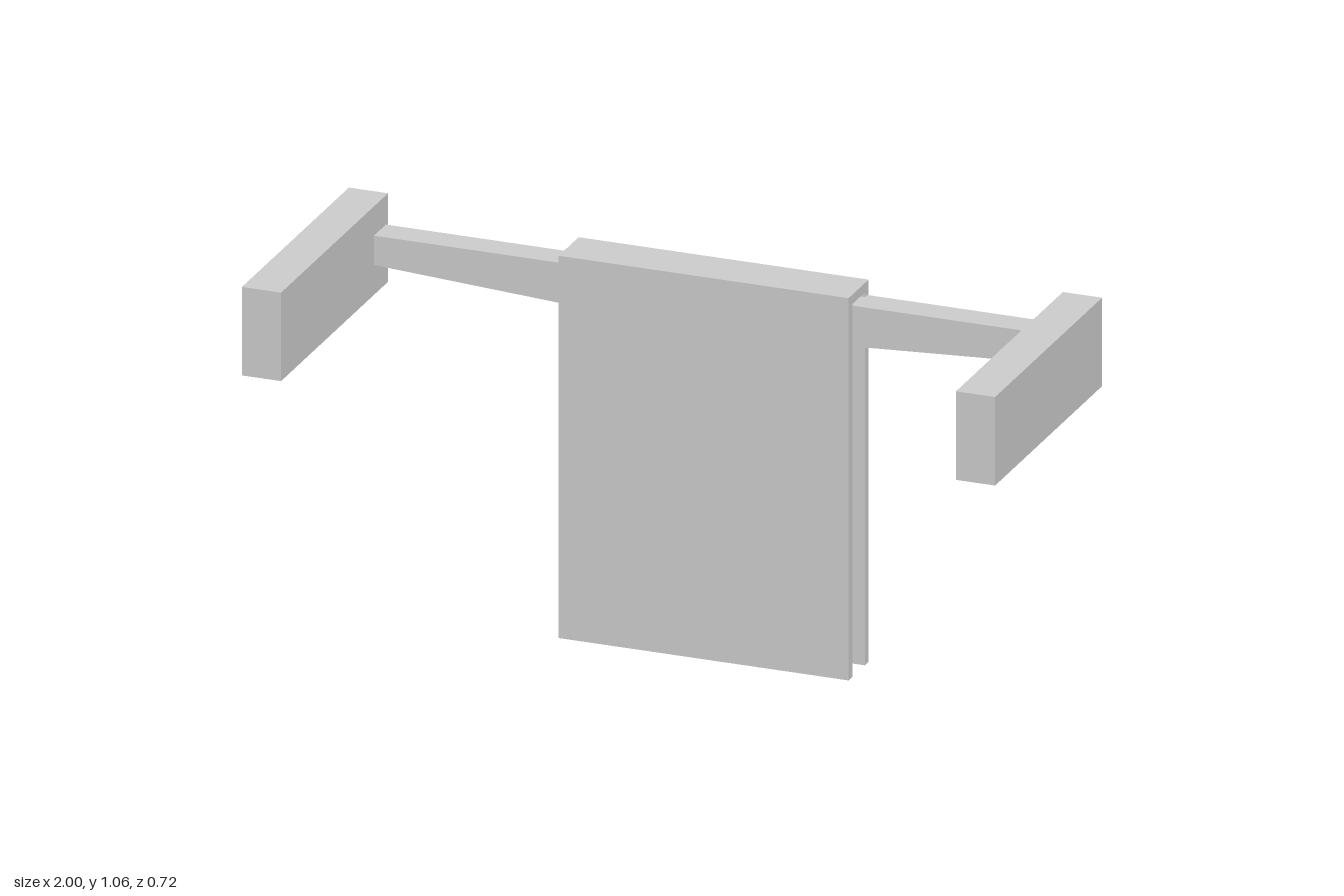
import * as THREE from 'three';

const grey = new THREE.MeshStandardMaterial({ color: 0xcccccc, flatShading: true });
const white = new THREE.MeshStandardMaterial({ color: 0xffffff, flatShading: true });

// Extrude a closed outline of [x, y] points by a depth
function extrude(name, points, depth, material) {
  const shape = new THREE.Shape(points.map(([x, y]) => new THREE.Vector2(x, y)));
  const geometry = new THREE.ExtrudeGeometry(shape, { depth, bevelEnabled: false });
  const mesh = new THREE.Mesh(geometry, material);
  mesh.name = name;
  return mesh;
}

export function createModel() {
  const model = new THREE.Group();
  model.name = 'towelRail';

  // Side arms
  for (const side of [1, -1]) {
    const arm = new THREE.Mesh(new THREE.BoxGeometry(0.104, 0.235, 0.716), grey);
    arm.name = side > 0 ? 'leftArm' : 'rightArm';
    arm.position.set(side * 0.948, 0.938, 0);
    model.add(arm);
  }

  // Crossbar, deepening toward the middle
  const bar = extrude('crossbar', [
    [-0.896, 0.978], [-0.896, 0.9], [0, 0.848], [0.896, 0.9], [0.896, 0.978],
  ], 0.08, grey);
  bar.position.z = -0.343;
  model.add(bar);

  // Towel folded over the bar: an inverted U swept along x
  const front = -0.219, back = -0.353, thick = 0.025, top = 1.015;
  const towel = extrude('towel', [
    [-front, 0], [-front, top], [-back, top], [-back, 0],
    [-back - thick, 0], [-back - thick, top - thick],
    [-front + thick, top - thick], [-front + thick, 0],
  ], 0.77, white);
  towel.rotation.y = Math.PI / 2;
  towel.position.x = -0.388;
  model.add(towel);

  return model;
}
